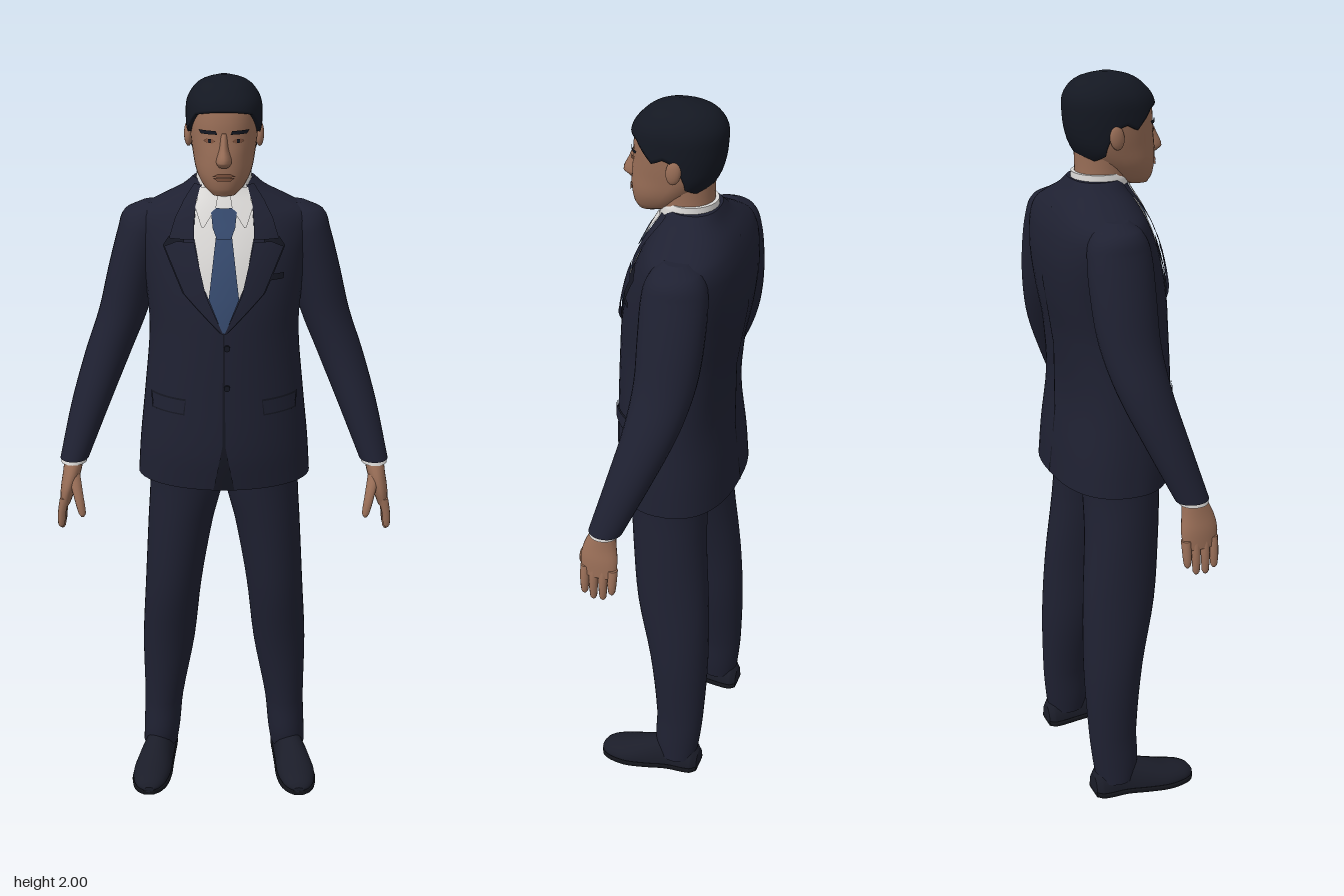
import * as THREE from 'three';

const mat = (name, color, side = THREE.DoubleSide) => {
  const m = new THREE.MeshStandardMaterial({ color, side });
  m.name = name;
  return m;
};

// Cross-section: [y, centre x, half width, centre z, front z, back z]
// Smooth interpolation of the sections at any height
function sectionAt(sec, y) {
  const n = sec.length - 1;
  let i = 0;
  while (i < n - 1 && y > sec[i + 1][0]) i++;
  const a = sec[i], b = sec[i + 1], h = b[0] - a[0];
  const t = Math.min(1, Math.max(0, (y - a[0]) / h)), t2 = t * t, t3 = t2 * t;
  const slope = (k, c) => {
    const p = sec[Math.max(0, k - 1)], q = sec[Math.min(n, k + 1)];
    return (q[c] - p[c]) / (q[0] - p[0]);
  };
  return a.map((v, c) => c === 0 ? y : v * (2 * t3 - 3 * t2 + 1) + b[c] * (3 * t2 - 2 * t3)
    + h * (slope(i, c) * (t3 - 2 * t2 + t) + slope(i + 1, c) * (t3 - t2)));
}

// Point on a section outline; ef and eb square off the front and back
function ringPoint([y, cx, rx, cz, zf, zb], a, ef, eb, grow = 0) {
  const c = Math.cos(a), s = Math.sin(a), e = s > 0 ? ef : eb;
  const r = s > 0 ? zf - cz + grow : cz - zb + grow;
  return [cx + (rx + grow) * Math.sign(c) * Math.abs(c) ** e, y, cz + r * Math.sign(s) * Math.abs(s) ** e];
}

// Surface through rows of points, optionally closed around
function skin(rows, closed) {
  const n = rows[0].length, index = [];
  for (let i = 0; i < rows.length - 1; i++) {
    for (let j = 0; j < (closed ? n : n - 1); j++) {
      const k = (j + 1) % n, p = i * n + j, q = i * n + k;
      index.push(p, p + n, q, p + n, q + n, q);
    }
  }
  const g = new THREE.BufferGeometry();
  g.setAttribute('position', new THREE.Float32BufferAttribute(rows.flat(2), 3));
  g.setIndex(index);
  g.computeVertexNormals();
  return g;
}

// Closed body through the sections, with flat end caps
function loft(sec, { n = 32, ef = 1, eb = 1, steps = 4 } = {}) {
  const rows = [];
  const ring = s => Array.from({ length: n }, (_, j) => ringPoint(s, j / n * Math.PI * 2, ef, eb));
  const centre = s => Array.from({ length: n }, () => [s[1], s[0], (s[4] + s[5]) / 2]);
  for (let i = 0; i < sec.length - 1; i++)
    for (let k = 0; k < steps; k++)
      rows.push(ring(sectionAt(sec, sec[i][0] + (sec[i + 1][0] - sec[i][0]) * k / steps)));
  const first = sec[0], last = sec[sec.length - 1];
  rows.push(ring(last));
  return skin([centre(first), ring(first), ...rows, ring(last), centre(last)], true);
}

// Thin sheet lying on a body; rows are [y, x0, x1]
function patch(sec, rows, off, { side = 1, back = false, e = 1 } = {}) {
  const out = [], steps = 4, nu = 8;
  for (let i = 0; i < rows.length - 1; i++) {
    for (let k = i ? 1 : 0; k <= steps; k++) {
      const [y, x0, x1] = rows[i].map((v, c) => v + (rows[i + 1][c] - v) * k / steps);
      const [, cx, rx, cz, zf, zb] = sectionAt(sec, y);
      out.push(Array.from({ length: nu + 1 }, (_, j) => {
        const x = side * (x0 + (x1 - x0) * j / nu);
        const d = Math.max(0, 1 - Math.abs((x - cx) / rx) ** (2 / e)) ** (e / 2);
        return [x, y, back ? cz - (cz - zb) * d - off : cz + (zf - cz) * d + off];
      }));
    }
  }
  return skin(out.map(r => r.reverse()), false);
}

const mirror = (sec, s) => sec.map(([y, cx, ...rest]) => [y, s * cx, ...rest]);
// Round limb sections given as [y, centre x, half width, centre z, half depth]
const limb = list => list.map(([y, cx, rx, cz, rz]) => [y, cx, rx, cz, cz + rz, cz - rz]);

const TORSO = [
  [0.95, 0, 0.232, 0, 0.152, -0.163], [1.05, 0, 0.225, 0, 0.165, -0.155],
  [1.2, 0, 0.209, 0, 0.163, -0.138], [1.35, 0, 0.196, -0.01, 0.157, -0.148],
  [1.45, 0, 0.202, -0.02, 0.148, -0.166], [1.55, 0, 0.218, -0.04, 0.125, -0.175],
  [1.62, 0, 0.228, -0.05, 0.097, -0.168], [1.66, 0, 0.216, -0.05, 0.077, -0.155],
  [1.69, 0, 0.165, -0.045, 0.062, -0.138], [1.72, 0, 0.108, -0.035, 0.046, -0.112],
  [1.745, 0, 0.078, -0.03, 0.035, -0.095]];
const ARM = limb([
  [1.01, 0.4, 0.038, 0.062, 0.044], [1.15, 0.355, 0.052, 0.012, 0.058],
  [1.28, 0.308, 0.061, -0.03, 0.07], [1.39, 0.266, 0.065, -0.05, 0.078],
  [1.5, 0.237, 0.067, -0.055, 0.083], [1.61, 0.208, 0.066, -0.055, 0.08],
  [1.655, 0.197, 0.059, -0.055, 0.062], [1.678, 0.18, 0.03, -0.05, 0.03]]);
const LEG = [
  [0.045, 0.19, 0.05, -0.05, 0.005, -0.108], [0.1, 0.185, 0.053, -0.05, 0.015, -0.116],
  [0.2, 0.178, 0.056, -0.055, 0.014, -0.125], [0.4, 0.16, 0.074, -0.045, 0.037, -0.131],
  [0.6, 0.143, 0.079, -0.02, 0.078, -0.125], [0.8, 0.12, 0.09, -0.01, 0.097, -0.108],
  [0.92, 0.102, 0.1, 0, 0.105, -0.105], [1.0, 0.1, 0.102, 0, 0.11, -0.11]];
const HEAD = [
  [1.722, 0, 0.028, 0.085, 0.112, 0.05], [1.74, 0, 0.05, 0.055, 0.122, 0.0],
  [1.775, 0, 0.069, 0.03, 0.127, -0.045], [1.82, 0, 0.079, 0.0, 0.126, -0.08],
  [1.86, 0, 0.084, 0, 0.12, -0.095], [1.9, 0, 0.086, 0, 0.118, -0.101],
  [1.94, 0, 0.083, 0, 0.108, -0.101], [1.97, 0, 0.065, 0, 0.08, -0.083],
  [1.985, 0, 0.043, 0, 0.052, -0.056], [1.993, 0, 0.012, 0, 0.015, -0.015]];
// Shoe sections run from heel to toe, with depth measured downwards
const SHOE = [[-0.118, 0.186, 0.028, 0.06], [-0.1, 0.187, 0.042, 0.085], [-0.03, 0.192, 0.044, 0.1],
  [0.03, 0.202, 0.05, 0.085], [0.09, 0.21, 0.054, 0.064], [0.14, 0.214, 0.045, 0.05],
  [0.165, 0.216, 0.03, 0.038], [0.175, 0.216, 0.014, 0.025]];

export function createModel() {
  const model = new THREE.Group();
  model.name = 'suitedMan';
  const suit = mat('navy suit', 0x1f2132), seam = mat('dark seam', 0x151722);
  const flesh = mat('skin', 0x996e57), hairMat = mat('hair', 0x141822);
  const shirt = mat('white shirt', 0xdcdad8), tieMat = mat('blue tie', 0x364a6e);
  const shoeMat = mat('shoe leather', 0x1b1d29), sole = mat('shoe sole', 0x121319);
  const lip = mat('lips', 0x80543f);
  let parent = model;
  const add = (name, geometry, material) => {
    const m = new THREE.Mesh(geometry, material);
    m.name = name;
    parent.add(m);
    return m;
  };
  const group = name => {
    parent = new THREE.Group();
    parent.name = name;
    model.add(parent);
  };

  // Jacket with shirt front and tie
  group('jacket');
  add('jacketBody', loft(TORSO, { n: 48, eb: 0.8 }), suit);
  add('shirtFront', patch(TORSO, [[1.385, -0.002, 0.002], [1.5, -0.052, 0.052], [1.62, -0.076, 0.076],
    [1.7, -0.07, 0.07], [1.735, -0.055, 0.055]], 0.004), shirt);
  add('tieBlade', patch(TORSO, [[1.385, -0.003, 0.003], [1.47, -0.038, 0.038], [1.62, -0.02, 0.02]], 0.009), tieMat);
  add('tieKnot', patch(TORSO, [[1.615, -0.018, 0.018], [1.64, -0.028, 0.028], [1.675, -0.032, 0.032],
    [1.685, -0.02, 0.02]], 0.014), tieMat);
  add('frontOpening', patch(TORSO, [[0.951, -0.028, 0.028], [1.08, -0.004, 0.004], [1.385, -0.002, 0.002]], 0.003), seam);
  add('backSeam', patch(TORSO, [[0.952, -0.003, 0.003], [1.68, -0.002, 0.002]], 0.002, { back: true, e: 0.8 }), seam);
  add('chestPocket', patch(TORSO, [[1.51, 0.1, 0.15], [1.525, 0.1, 0.152]], 0.005), seam);
  for (const y of [1.345, 1.24]) {
    const b = add('button', new THREE.CylinderGeometry(0.008, 0.008, 0.008, 12), seam);
    b.rotation.x = Math.PI / 2;
    b.position.set(0.008, y, sectionAt(TORSO, y)[4] + 0.003);
  }
  for (const s of [1, -1]) {
    add('lapel', patch(TORSO, [[1.385, 0.002, 0.006], [1.48, 0.045, 0.1], [1.59, 0.071, 0.15],
      [1.605, 0.074, 0.118]], 0.011, { side: s }), suit);
    add('jacketCollar', patch(TORSO, [[1.61, 0.075, 0.138], [1.66, 0.074, 0.122], [1.7, 0.069, 0.1],
      [1.735, 0.055, 0.075]], 0.01, { side: s }), suit);
    add('lapelEdge', patch(TORSO, [[1.385, 0.002, 0.01], [1.48, 0.06, 0.104], [1.59, 0.1, 0.154],
      [1.612, 0.1, 0.14]], 0.004, { side: s }), seam);
    add('shirtCollarPoint', patch(TORSO, [[1.64, 0.05, 0.056], [1.685, 0.02, 0.072],
      [1.73, 0.012, 0.06]], 0.012, { side: s }), shirt);
    add('pocketFlap', patch(TORSO, [[1.165, 0.105, 0.185], [1.2, 0.1, 0.188]], 0.006, { side: s }), suit);
    add('pocketShadow', patch(TORSO, [[1.16, 0.102, 0.188], [1.204, 0.098, 0.191]], 0.003, { side: s }), seam);
  }

  // Arms and hands
  for (const s of [1, -1]) {
    group(s > 0 ? 'leftArm' : 'rightArm');
    const part = (name, list, m, opt) => add(name, loft(mirror(limb(list), s), opt), m);
    add('sleeve', loft(mirror(ARM, s), { n: 28 }), suit);
    part('shirtCuff', [[1.0, 0.402, 0.034, 0.066, 0.038], [1.02, 0.398, 0.034, 0.061, 0.038]], shirt);
    part('palm', [[0.885, 0.428, 0.014, 0.073, 0.045], [0.93, 0.418, 0.021, 0.075, 0.05],
      [0.97, 0.408, 0.024, 0.074, 0.043], [1.015, 0.4, 0.026, 0.065, 0.03]], flesh, { n: 20 });
    [0.035, 0.06, 0.086, 0.11].forEach((z, i) => {
      const tip = [0.838, 0.815, 0.812, 0.825][i];
      part('finger', [[tip, 0.438, 0.004, z, 0.004], [tip + 0.008, 0.438, 0.009, z, 0.009],
        [0.87, 0.435, 0.011, z, 0.012], [0.91, 0.426, 0.013, z, 0.013]], flesh, { n: 10, steps: 2 });
    });
    part('thumb', [[0.868, 0.377, 0.004, 0.14, 0.004], [0.878, 0.378, 0.01, 0.138, 0.01],
      [0.92, 0.387, 0.013, 0.126, 0.013], [0.975, 0.402, 0.017, 0.09, 0.018]], flesh, { n: 10, steps: 2 });
  }

  // Legs and shoes
  for (const s of [1, -1]) {
    group(s > 0 ? 'leftLeg' : 'rightLeg');
    add('trouserLeg', loft(mirror(LEG, s)), suit);
    const upper = SHOE.map(([z, cx, rx, h]) => [z, s * cx, rx, -0.02, -0.008, -h]);
    const base = SHOE.map(([z, cx, rx]) => [z, s * cx, rx + 0.003, -0.008, 0, -0.016]);
    add('shoeUpper', loft(upper, { n: 24 }).rotateX(Math.PI / 2), shoeMat);
    add('shoeSole', loft(base, { n: 24, ef: 0.4, eb: 0.4 }).rotateX(Math.PI / 2), sole);
  }

  // Head, neck and shirt collar
  group('head');
  add('neck', loft([[1.66, 0, 0.068, -0.015, 0.05, -0.085], [1.76, 0, 0.064, -0.01, 0.055, -0.08],
    [1.84, 0, 0.066, -0.01, 0.05, -0.082]]), flesh);
  add('shirtCollar', loft([[1.67, 0, 0.08, -0.02, 0.058, -0.095], [1.745, 0, 0.071, -0.018, 0.052, -0.09],
    [1.76, 0, 0.069, -0.02, 0.035, -0.089]]), shirt);
  add('face', loft(HEAD, { n: 40, ef: 0.9 }), flesh);
  add('nose', loft([[1.795, 0, 0.014, 0.115, 0.138, 0.1], [1.808, 0, 0.02, 0.115, 0.153, 0.1],
    [1.84, 0, 0.012, 0.11, 0.139, 0.1], [1.875, 0, 0.01, 0.1, 0.122, 0.09]], { n: 16 }), flesh);
  const onFace = (name, rows, off, m, side) => add(name, patch(HEAD, rows, off, { side, e: 0.9 }), m);
  onFace('upperLip', [[1.772, -0.029, 0.029], [1.78, -0.015, 0.015]], 0.004, lip);
  onFace('lowerLip', [[1.762, -0.016, 0.016], [1.77, -0.027, 0.027]], 0.005, lip);
  for (const s of [1, -1]) {
    onFace('eyebrow', [[1.873, 0.016, 0.056], [1.882, 0.02, 0.062]], 0.005, hairMat, s);
    onFace('eyeWhite', [[1.852, 0.028, 0.042], [1.857, 0.02, 0.05], [1.862, 0.028, 0.042]], 0.003, lip, s);
    onFace('iris', [[1.853, 0.031, 0.039], [1.862, 0.031, 0.039]], 0.005, hairMat, s);
    const ear = add('ear', new THREE.SphereGeometry(1, 16, 12), flesh);
    ear.scale.set(0.011, 0.031, 0.019);
    ear.position.set(s * 0.089, 1.855, -0.008);
    ear.rotation.x = -0.15;
  }

  // Short hair: a shell over the skull with a shaped hairline
  const line = [[-1, 1.785], [-0.4, 1.81], [-0.15, 1.87], [0.15, 1.885], [0.3, 1.865], [0.5, 1.89], [0.7, 1.915], [1, 1.925]];
  const hairline = a => {
    const s = Math.sin(a), i = Math.max(1, line.findIndex(p => p[0] >= s - 1e-9));
    const [p, q] = [line[i - 1], line[i]];
    return p[1] + (q[1] - p[1]) * (s - p[0]) / (q[0] - p[0]);
  };
  const hairRows = [];
  for (let i = 0; i <= 20; i++) {
    const t = Math.max(0, i - 1) / 19, ease = 1 - (1 - t) ** 1.6;
    hairRows.push(Array.from({ length: 56 }, (_, j) => {
      const a = j / 56 * Math.PI * 2, y = hairline(a) + (1.993 - hairline(a)) * ease;
      const p = ringPoint(sectionAt(HEAD, y), a, 0.9, 1, i ? 0.009 * (1 - t ** 6) : -0.002);
      p[1] += 0.007 * t * t;
      return p;
    }));
  }
  hairRows.push(Array.from({ length: 56 }, () => [0, 2, 0]));
  add('hair', skin(hairRows, true), hairMat);
  return model;
}
